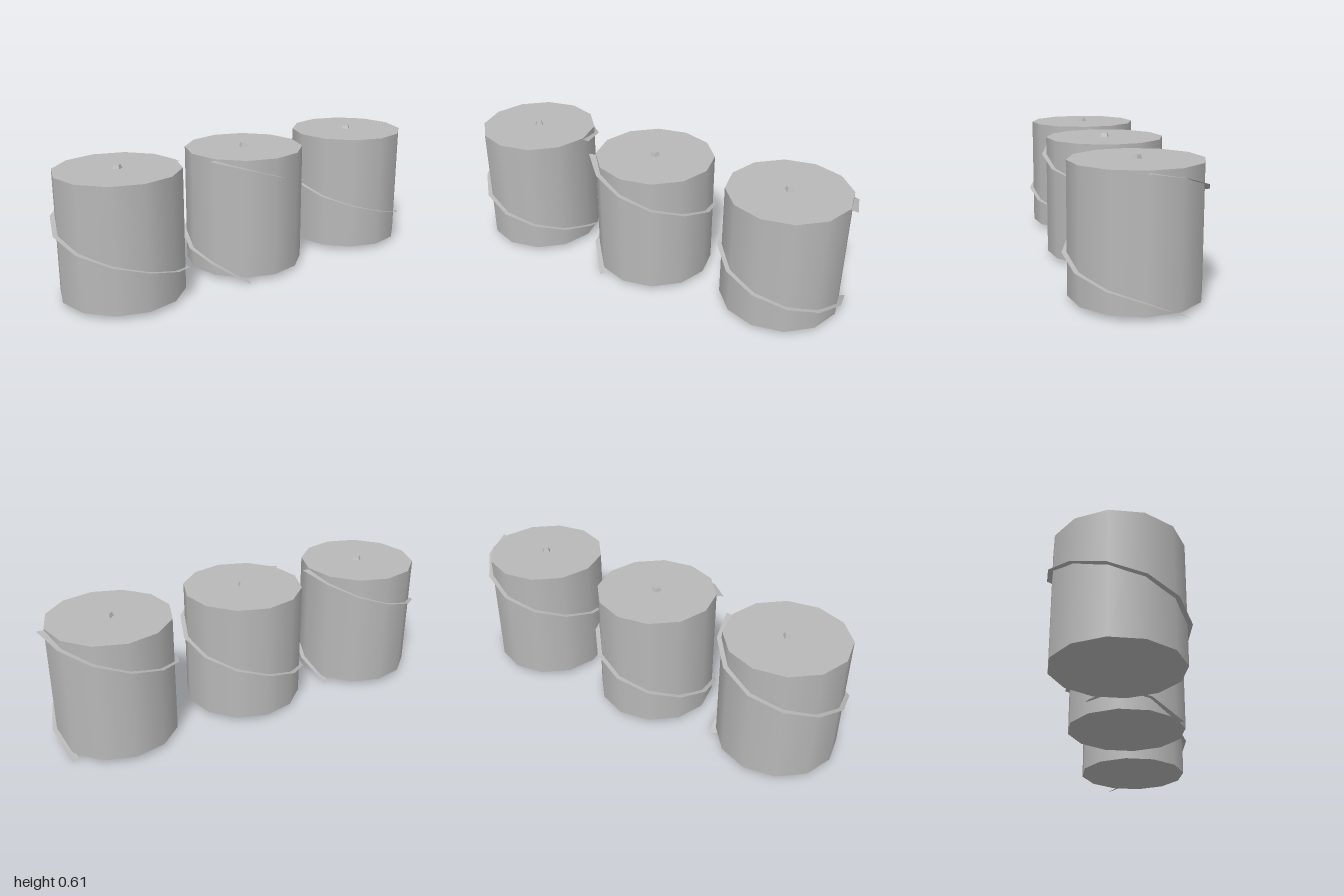
import * as THREE from 'three';

const RAD = Math.PI / 180;

// Thin spiral blade: a flat strip stepping down around the drum every 30 degrees
function bladeGeometry() {
  const steps = [[0, 0.585], [30, 0.556], [60, 0.51]];
  for (let i = 0; i <= 9; i++) steps.push([90 + i * 30, 0.46 - i * 0.0424]);
  steps.push([394, 0]);

  const pos = [], index = [];
  steps.forEach(([deg, y], i) => {
    const end = i === 0 || i === steps.length - 1;
    const c = Math.cos(deg * RAD), s = -Math.sin(deg * RAD);
    for (const r of [end ? 0.283 : 0.27, end ? 0.32 : 0.309]) pos.push(r * c, y, r * s);
    if (i > 0) {
      const a = (i - 1) * 2;
      index.push(a, a + 1, a + 2, a + 1, a + 3, a + 2);
    }
  });
  const g = new THREE.BufferGeometry();
  g.setAttribute('position', new THREE.Float32BufferAttribute(pos, 3));
  g.setIndex(index);
  g.computeVertexNormals();
  return g;
}

export function createModel() {
  const model = new THREE.Group();
  model.name = 'spiralDrums';
  const grey = new THREE.MeshStandardMaterial({ color: 0xb8b8b8, side: THREE.DoubleSide });
  grey.name = 'grey';

  const drumGeo = new THREE.CylinderGeometry(0.287, 0.287, 0.573, 12).translate(0, 0.3055, 0);
  // Four-sided tapered peg with crisp faces
  const pegGeo = new THREE.CylinderGeometry(0.016, 0.026, 0.019, 4).toNonIndexed().translate(0, 0.6, 0);
  pegGeo.computeVertexNormals();
  const bladeGeo = bladeGeometry();

  const add = (parent, name, geometry) => {
    const mesh = new THREE.Mesh(geometry, grey);
    mesh.name = name;
    parent.add(mesh);
  };

  // Three equal drums in a row, the middle one turned
  for (const [name, x, turn] of [
    ['rightDrum', -0.69, -4.5],
    ['middleDrum', -0.003, 205.5],
    ['leftDrum', 0.68, -4.5],
  ]) {
    const unit = new THREE.Group();
    unit.name = name;
    unit.position.x = x;
    unit.rotation.y = turn * RAD;
    add(unit, 'drum', drumGeo);
    add(unit, 'peg', pegGeo);
    add(unit, 'spiralBlade', bladeGeo);
    model.add(unit);
  }
  return model;
}
